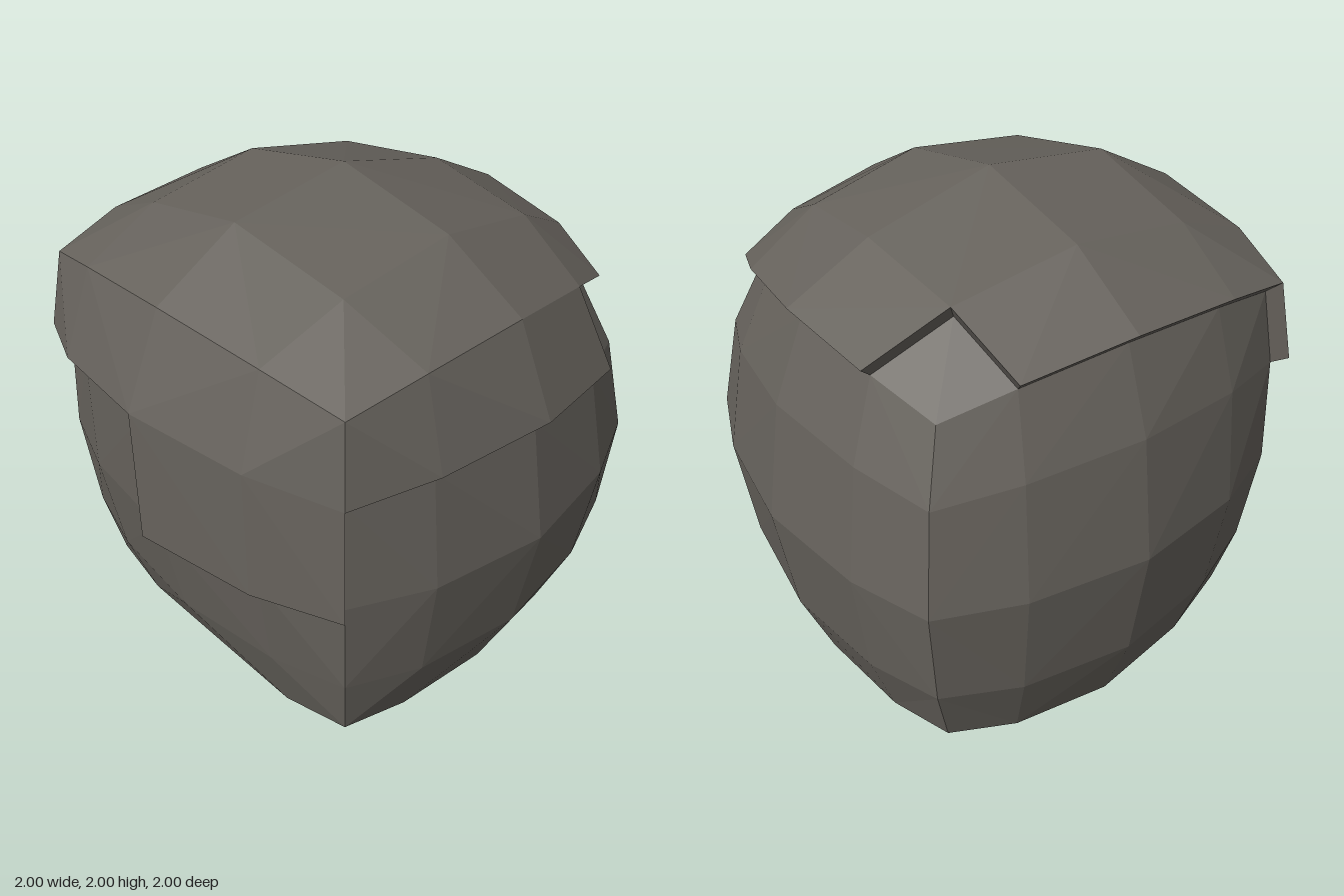
import * as THREE from 'three';

// Control points of the bulged block: [x, y, z] for x = -1, 0, +1 in each row
const LATTICE = [
  // bottom layer: back, middle, front
  [[-0.72, 0.14, -0.70], [-0.02, 0.07, -0.80], [0.69, 0.18, -0.69]],
  [[-0.82, 0.05, -0.02], [-0.02, 0.00, -0.02], [0.76, 0.08, -0.02]],
  [[-0.69, 0.18, 0.67], [-0.02, 0.15, 0.72], [0.69, 0.15, 0.67]],
  // middle layer
  [[-0.81, 0.86, -0.82], [-0.02, 0.86, -1.00], [0.78, 0.86, -0.81]],
  [[-1.00, 0.86, -0.02], [-0.02, 0.86, -0.02], [0.995, 0.86, -0.02]],
  [[-0.79, 0.86, 0.75], [-0.02, 0.86, 0.93], [0.76, 0.86, 0.74]],
  // top layer
  [[-0.67, 1.52, -0.68], [-0.02, 1.64, -0.80], [0.63, 1.51, -0.65]],
  [[-0.81, 1.66, -0.02], [-0.02, 1.93, -0.02], [0.77, 1.655, -0.02]],
  [[-0.74, 1.59, 0.69], [-0.02, 1.70, 0.79], [0.71, 1.59, 0.69]],
];
const STEPS = [-1, -0.6, 0, 0.6, 1];
const THICKNESS = 0.07;
const CENTRE = new THREE.Vector3(-0.02, 0.88, -0.02);

// Small dents and bumps on single grid nodes
const TWEAKS = {
  '2,3,4': [0, 0.02, 0.045], '1,3,4': [0, 0.01, 0.03], '3,3,4': [0, 0.01, 0.03],
  '1,0,4': [0, -0.03, 0], '3,0,4': [0, -0.045, 0],
  '2,4,3': [0, 0.02, 0], '2,4,1': [0, -0.02, 0],
};

const weights = (t) => [t * (t - 1) / 2, 1 - t * t, t * (t + 1) / 2];

// Position of grid node [i, j, k] (0..4 each), pushed outward when raised
function nodePoint(n, raised) {
  const [wx, wy, wz] = n.map((i) => weights(STEPS[i]));
  const p = new THREE.Vector3();
  for (let y = 0; y < 3; y++)
    for (let z = 0; z < 3; z++)
      for (let x = 0; x < 3; x++)
        p.addScaledVector(new THREE.Vector3(...LATTICE[y * 3 + z][x]), wx[x] * wy[y] * wz[z]);
  const tweak = TWEAKS[n.join()];
  if (tweak) p.add(new THREE.Vector3(...tweak));
  if (raised) p.addScaledVector(p.clone().sub(CENTRE).normalize(), THICKNESS);
  return p;
}

// Which surface cells belong to the raised slab (c = cell centre in grid units)
function isRaised([x, y, z]) {
  if (y === 4) return !(x < 1 && z < 1);
  if (z === 4) return y > 3 || (y > 2 && x > 2);
  if (x === 4) return y > 3 && z > 1;
  return false;
}

// Adds a quad, split along its more convex diagonal
function addQuad(out, a, b, c, d) {
  const ac = a.clone().add(c).distanceTo(CENTRE.clone().multiplyScalar(2));
  const bd = b.clone().add(d).distanceTo(CENTRE.clone().multiplyScalar(2));
  const tris = ac > bd ? [a, b, c, a, c, d] : [a, b, d, b, c, d];
  tris.forEach((p) => out.push(p.x, p.y, p.z));
}

function makeMesh(name, positions, material) {
  const geometry = new THREE.BufferGeometry();
  geometry.setAttribute('position', new THREE.Float32BufferAttribute(positions, 3));
  geometry.computeVertexNormals();
  const mesh = new THREE.Mesh(geometry, material);
  mesh.name = name;
  return mesh;
}

export function createModel() {
  const stone = new THREE.MeshStandardMaterial({ color: 0x66625c });
  stone.name = 'stone';

  const body = [], slab = [], rim = [];
  const slabEdges = new Map();

  // Six sides of 4 x 4 cells
  for (let axis = 0; axis < 3; axis++) {
    for (const end of [0, 4]) {
      let u = (axis + 1) % 3, v = (axis + 2) % 3;
      if (end === 0) [u, v] = [v, u];
      for (let i = 0; i < 4; i++) {
        for (let j = 0; j < 4; j++) {
          const at = (a, b) => {
            const n = [0, 0, 0];
            n[axis] = end; n[u] = a; n[v] = b;
            return n;
          };
          const corners = [at(i, j), at(i + 1, j), at(i + 1, j + 1), at(i, j + 1)];
          const raised = isRaised(at(i + 0.5, j + 0.5));
          addQuad(raised ? slab : body, ...corners.map((n) => nodePoint(n, raised)));
          if (raised) corners.forEach((n, q) => {
            const m = corners[(q + 1) % 4];
            slabEdges.set(n.join() + '|' + m.join(), [n, m]);
          });
        }
      }
    }
  }

  // Step wall along the open border of the slab
  for (const [n, m] of slabEdges.values()) {
    if (slabEdges.has(m.join() + '|' + n.join())) continue;
    addQuad(rim, nodePoint(m, true), nodePoint(n, true), nodePoint(n, false), nodePoint(m, false));
  }

  const model = new THREE.Group();
  model.name = 'boulder';
  model.add(makeMesh('boulderBody', body, stone));
  model.add(makeMesh('raisedSlab', slab, stone));
  model.add(makeMesh('slabRim', rim, stone));
  return model;
}
